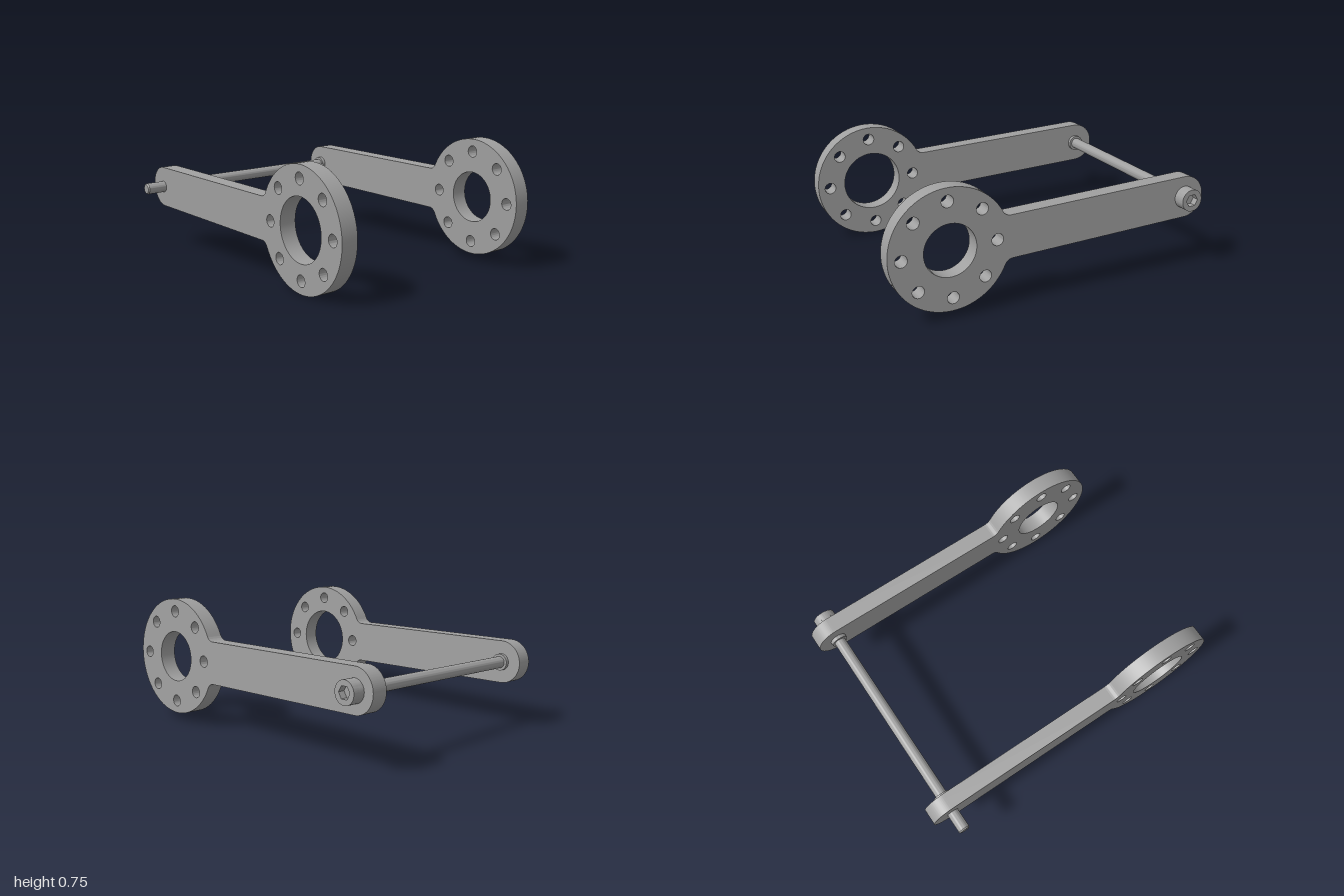
import * as THREE from 'three';
import { toCreasedNormals } from 'three/addons/utils/BufferGeometryUtils.js';

const ARM = 0.127;      // half width of the arm
const RING = 0.354;     // outer radius of the ring
const REACH = 1.51;     // pivot to ring centre
const FILLET = 0.05;
const THICK = 0.1;

function hole(x, y, r) {
  return new THREE.Path().absarc(x, y, r, 0, Math.PI * 2, true);
}

// Rounded arm blending into a drilled ring; the pivot is at the origin
function plateGeometry(bore) {
  const h = ARM + FILLET;
  const dx = Math.sqrt((RING + FILLET) ** 2 - h * h);
  const a = Math.atan2(h, dx);
  const fx = REACH - dx;
  const s = new THREE.Shape();
  s.absarc(0, 0, ARM, Math.PI / 2, Math.PI * 1.5, false);
  s.absarc(fx, -h, FILLET, Math.PI / 2, a, true);
  s.absarc(REACH, 0, RING, a - Math.PI, Math.PI - a, false);
  s.absarc(fx, h, FILLET, -a, -Math.PI / 2, true);
  s.closePath();
  s.holes.push(hole(REACH, 0, bore));
  for (let i = 0; i < 8; i++) {
    const t = (i * Math.PI) / 4;
    s.holes.push(hole(REACH + 0.278 * Math.cos(t), 0.278 * Math.sin(t), 0.035));
  }
  const g = new THREE.ExtrudeGeometry(s, { depth: THICK, bevelEnabled: false, curveSegments: 40 });
  return toCreasedNormals(g, 0.5);
}

// Turned solid along z from [radius, z] pairs
function turned(points) {
  const g = new THREE.LatheGeometry(points.map(([r, z]) => new THREE.Vector2(r, z)), 40);
  g.rotateX(Math.PI / 2);
  return toCreasedNormals(g, 0.5);
}

export function createModel() {
  const model = new THREE.Group();
  const assembly = new THREE.Group();
  assembly.name = 'linkAssembly';
  model.add(assembly);

  const steel = new THREE.MeshStandardMaterial({ color: 0xa0a0a0 });
  steel.name = 'steelGrey';

  const add = (name, geometry, z = 0) => {
    const m = new THREE.Mesh(geometry, steel);
    m.name = name;
    m.position.z = z;
    assembly.add(m);
  };

  // Two arms; the front ring has the wider bore
  add('frontArm', plateGeometry(0.183), 0.566);
  add('backArm', plateGeometry(0.153), -0.72);

  // Long bolt shaft with a chamfered tip
  add('boltShaft', turned([[0, -0.73], [0.035, -0.73], [0.035, 0.785], [0.029, 0.793], [0, 0.793]]));

  // Collars against the inner faces of the arms
  const collar = turned([[0, 0], [0.05, 0], [0.05, 0.024], [0, 0.024]]);
  add('frontCollar', collar, 0.544);
  add('backCollar', collar, -0.622);

  // Bolt head: solid base, then a rim around a hexagonal socket
  add('boltHeadBase', turned([[0, -0.755], [0.067, -0.755], [0.067, -0.719], [0, -0.719]]));
  const rim = new THREE.Shape().absarc(0, 0, 0.067, 0, Math.PI * 2, false);
  const hex = [];
  for (let i = 0; i < 6; i++) {
    const t = (-i * Math.PI) / 3;
    hex.push(new THREE.Vector2(0.039 * Math.cos(t), 0.039 * Math.sin(t)));
  }
  rim.holes.push(new THREE.Path(hex));
  const rimGeometry = new THREE.ExtrudeGeometry(rim, { depth: 0.04, bevelEnabled: false, curveSegments: 40 });
  add('boltHeadRim', toCreasedNormals(rimGeometry, 0.5), -0.795);

  // The whole linkage rests slightly tilted
  assembly.rotation.set(0.034, -0.0065, -0.0265);
  assembly.position.set(-0.87, 0.417, 0);
  return model;
}
